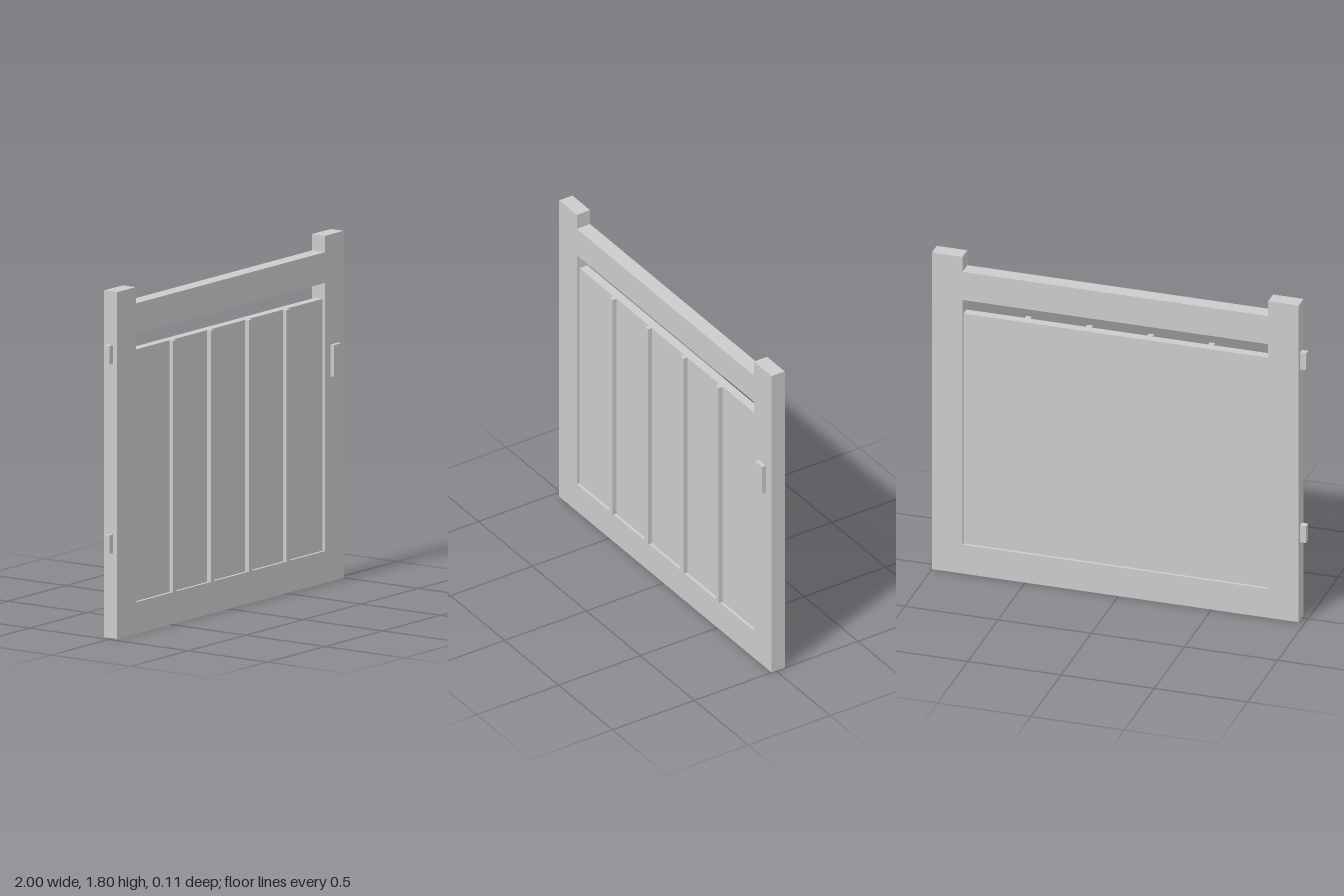
import * as THREE from 'three';

const material = new THREE.MeshStandardMaterial({ color: 0xcccccc, flatShading: true });

// Box given by its minimum and maximum corners
function addBox(parent, name, [x0, y0, z0], [x1, y1, z1]) {
  const mesh = new THREE.Mesh(new THREE.BoxGeometry(x1 - x0, y1 - y0, z1 - z0), material);
  mesh.position.set((x0 + x1) / 2, (y0 + y1) / 2, (z0 + z1) / 2);
  mesh.name = name;
  parent.add(mesh);
}

const points = (list) => list.map(([x, y]) => new THREE.Vector2(x, y));

export function createModel() {
  const gate = new THREE.Group();
  gate.name = 'gate';

  const left = -0.967, right = 1, innerLeft = -0.804, innerRight = 0.836;
  const postTop = 1.805, railTop = 1.72, railBottom = 1.56, sillTop = 0.165;
  const back = -0.053, depth = 0.081, front = back + depth;

  // Frame: two posts, top rail and bottom rail in one piece
  const outline = new THREE.Shape(points([
    [left, 0], [right, 0], [right, postTop], [innerRight, postTop],
    [innerRight, railTop], [innerLeft, railTop], [innerLeft, postTop], [left, postTop],
  ]));
  outline.holes.push(new THREE.Path(points([
    [innerLeft, sillTop], [innerLeft, railBottom], [innerRight, railBottom], [innerRight, sillTop],
  ])));
  const frame = new THREE.Mesh(
    new THREE.ExtrudeGeometry(outline, { depth, bevelEnabled: false }), material);
  frame.position.z = back;
  frame.name = 'frame';
  gate.add(frame);

  // Infill panel, recessed on both faces, with a gap below the top rail
  const panelTop = 1.475, panelFront = 0.012;
  addBox(gate, 'panel', [innerLeft, sillTop, -0.037], [innerRight, panelTop, panelFront]);

  // Four battens dividing the panel into five equal bays
  const bay = (innerRight - innerLeft) / 5;
  for (let i = 1; i <= 4; i++) {
    const x = innerLeft + i * bay;
    addBox(gate, `batten${i}`, [x - 0.015, sillTop, panelFront], [x + 0.015, panelTop, 0.036]);
  }

  // Hinges on the outer edge of the hanging post
  for (const [name, y] of [['lowerHinge', 0.493], ['upperHinge', 1.478]]) {
    addBox(gate, name, [-1, y - 0.048, -0.029], [left, y + 0.048, 0.003]);
  }

  // Latch block on the front of the closing post
  addBox(gate, 'latch', [0.883, 1.067, front], [0.948, 1.232, 0.052]);

  return gate;
}
